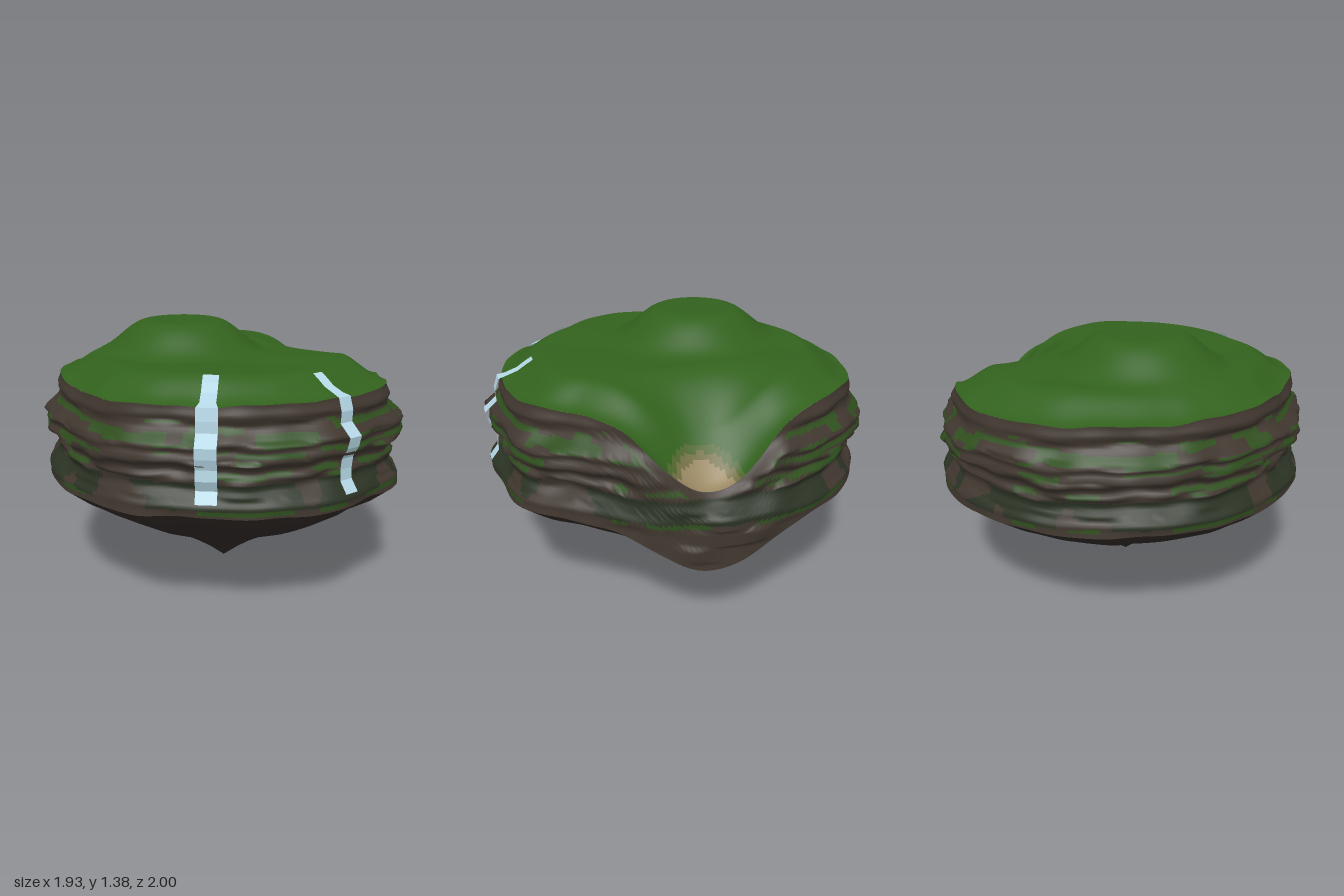
import * as THREE from 'three';

const { smoothstep, lerp } = THREE.MathUtils;
const STEPS = 240;

// Plan outline every 15 degrees, starting at +x and turning towards +z
const RIM = [.87, .88, .83, .83, .90, .89, .88, .87, .85, .83, .88, .89,
  .86, .87, .88, .87, .88, .89, .92, .94, .96, .93, .90, .89];
const OUTER = [.95, .93, .90, .93, .99, .96, .98, .95, .93, .92, .95, .94,
  .96, .96, .96, .97, .97, .97, .99, 1.0, 1.02, 1.02, 1.0, .97];
// How far each rock layer stands out between rim and outer line, top to bottom
const LEDGES = [0, .2, .25, .1, .05, .3, .65, .95, .75, .9, .95, .5, .35, .6, .45, .35, .55, .75, 1, .95, .97];
// Height of the underside from tip to cliff foot
const KEEL = [0, .13, .24, .34, .43, .51, .59, .68, .77, .87, 1];

// Smooth periodic lookup
function around(list, a) {
  const n = list.length, f = ((a / (2 * Math.PI)) % 1 + 1) % 1 * n;
  const i = Math.floor(f), t = f - i, g = k => list[(i + k + n) % n];
  const [p, q, r, s] = [g(-1), g(0), g(1), g(2)];
  return q + .5 * t * (r - p + t * (2 * p - 5 * q + 4 * r - s + t * (3 * (q - r) + s - p)));
}
function along(list, v) {
  const f = Math.min(Math.max(v, 0), 1) * (list.length - 1), i = Math.min(Math.floor(f), list.length - 2);
  return lerp(list[i], list[i + 1], f - i);
}
// Periodic pseudo-noise around the island, varying with a layer number
const wave = (a, k) => (Math.sin(3 * a + k * 2.1) + Math.sin(7 * a - k * 3.7) +
  .7 * Math.sin(13 * a + k * 5.3) + .5 * Math.sin(23 * a - k * 4.1)) / 3.2;

// Meadow: plateau, round knoll and a valley falling to the +x rim
function topPoint(t, a) {
  const r = t * around(RIM, a), x = r * Math.cos(a), z = r * Math.sin(a);
  const d = Math.hypot(x + .15, z + .19);
  let y = 1.225 - (.1 + .015 * wave(a, 9)) * smoothstep(t, .76, 1);
  y += .155 * (1 - smoothstep(d, .19, .47));
  y -= .34 * Math.exp(-(Math.abs(z / .29) ** 2.3)) * smoothstep(x, .35, .86);
  y += .01 * Math.sin(9 * x + 2) * Math.sin(8 * z + 1) * smoothstep(d, .2, .4) * (1 - t * t);
  return new THREE.Vector3(x, y, z);
}

// Position of a height within the level rock layers: 0 at the top, 1 at the lowest
const layerAt = y => (1.13 - y) / .51;

// Cliff, v runs from the rim (0) to the foot (1); the valley cuts through its layers
function cliffPoint(v, a) {
  const rim = around(RIM, a), out = around(OUTER, a), c = Math.cos(a), s = Math.sin(a);
  const dip = c > 0 ? Math.exp(-((s * out / .33) ** 2)) : 0;
  const y = lerp(topPoint(1, a).y, .62 - .21 * dip + .012 * wave(a, 4), v);
  const h = layerAt(y), fade = Math.sin(Math.PI * v);
  const ledge = along(LEDGES, h + .045 * wave(a, 1) * fade) * smoothstep(v, -.02, .14);
  const r = lerp(rim, out, ledge) + .033 * fade * wave(a, Math.floor(h * 6) * .4 + 2);
  return new THREE.Vector3(r * c, y, r * s);
}

// Underside: a blunt cone with a small point
function keelPoint(t, a) {
  const p = cliffPoint(1, a), k = 1 + .035 * Math.sin(Math.PI * t) * wave(a, t * 1.5);
  return new THREE.Vector3(p.x * t * k, p.y * along(KEEL, t), p.z * t * k);
}

// Closed ring surface, split into one mesh per material by pick(v, a, point)
function ringSurface(group, point, rows, facesDown, pick, mats) {
  const pos = [], all = [], parts = {};
  const angle = i => i / STEPS * 2 * Math.PI;
  for (let j = 0; j <= rows; j++)
    for (let i = 0; i < STEPS; i++) pos.push(...point(j / rows, angle(i)).toArray());
  for (let j = 0; j < rows; j++) {
    for (let i = 0; i < STEPS; i++) {
      const n = (i + 1) % STEPS, a = j * STEPS + i, b = j * STEPS + n, c = a + STEPS, d = b + STEPS;
      const quad = facesDown ? [a, c, b, b, c, d] : [a, b, c, b, d, c];
      const v = (j + .5) / rows, th = angle(i + .5);
      const name = pick(v, th, point(v, th));
      (parts[name] ??= []).push(...quad);
      all.push(...quad);
    }
  }
  const base = new THREE.BufferGeometry();
  base.setAttribute('position', new THREE.Float32BufferAttribute(pos, 3));
  base.setIndex(all);
  base.computeVertexNormals();
  for (const name in parts) {
    const geo = new THREE.BufferGeometry();
    geo.setAttribute('position', base.attributes.position);
    geo.setAttribute('normal', base.attributes.normal);
    geo.setIndex(parts[name]);
    const mesh = new THREE.Mesh(geo, mats[name]);
    mesh.name = name;
    group.add(mesh);
  }
}

// Ribbon of water running off the meadow and down the cliff
function waterfall(a, width, start, name, mat) {
  const path = [];
  for (let i = 0; i <= 4; i++) path.push(topPoint(lerp(start, 1, i / 4), a));
  for (let i = 1; i <= 8; i++) path.push(cliffPoint(i / 8 * .86, a));
  const side = new THREE.Vector3(-Math.sin(a), 0, Math.cos(a));
  const out = new THREE.Vector3(Math.cos(a), 0, Math.sin(a));
  const pos = [], idx = [];
  path.forEach((p, i) => {
    p.addScaledVector(out, i < 3 ? 0 : .022);
    p.y += i < 5 ? .008 : 0;
    const w = width * (i < 4 ? .75 : 1) / 2;
    pos.push(...p.clone().addScaledVector(side, w).toArray(), ...p.clone().addScaledVector(side, -w).toArray());
    if (i) { const k = 2 * i; idx.push(k - 2, k - 1, k, k - 1, k + 1, k); }
  });
  const geo = new THREE.BufferGeometry();
  geo.setAttribute('position', new THREE.Float32BufferAttribute(pos, 3));
  geo.setIndex(idx);
  geo.computeVertexNormals();
  const mesh = new THREE.Mesh(geo, mat);
  mesh.name = name;
  return mesh;
}

export function createModel() {
  const island = new THREE.Group();
  island.name = 'floatingIsland';
  const paint = color => new THREE.MeshStandardMaterial({ color });
  const mats = {
    meadow: paint(0x32611d), grassyEdge: paint(0x4f682d), sandyEdge: paint(0x747046), beach: paint(0x9a8862),
    cliffRock: paint(0x40372f), cliffMoss: paint(0x2f4f1e), dampRock: paint(0x2b3324),
    underside: paint(0x2d2825)
  };

  // Meadow with a beach where the valley meets the rim
  ringSurface(island, topPoint, 64, false, (v, a, p) => {
    const d = Math.hypot(p.x - .88, p.z - .02);
    return d < .13 ? 'beach' : d < .155 ? 'sandyEdge' : d < .18 ? 'grassyEdge' : 'meadow';
  }, mats);

  // Cliff: moss on upward ledges, damp rock near the lowest layer
  ringSurface(island, cliffPoint, 44, false, (v, a, p) => {
    const below = cliffPoint(v + .02, a), above = cliffPoint(v - .02, a), h = layerAt(p.y);
    const slope = Math.hypot(below.x, below.z) - Math.hypot(above.x, above.z);
    if (h > .14 && h < .7 && v > .1 && slope > .005 && wave(a, Math.floor(h * 12)) > 0) return 'cliffMoss';
    if (h > .93 && h < .97 && wave(a, 7) > 0) return 'cliffMoss';
    return h > .7 && h < .93 && v > .06 && wave(a, 3 + h) > -.3 ? 'dampRock' : 'cliffRock';
  }, mats);

  ringSurface(island, keelPoint, 30, true, () => 'underside', mats);

  // Two waterfalls on the front
  const water = new THREE.MeshStandardMaterial({ color: 0xb4d6e4, side: THREE.DoubleSide, flatShading: true });
  island.add(waterfall(1.497, .075, .82, 'frontWaterfall', water));
  island.add(waterfall(2.235, .1, .8, 'cornerWaterfall', water));
  return island;
}
